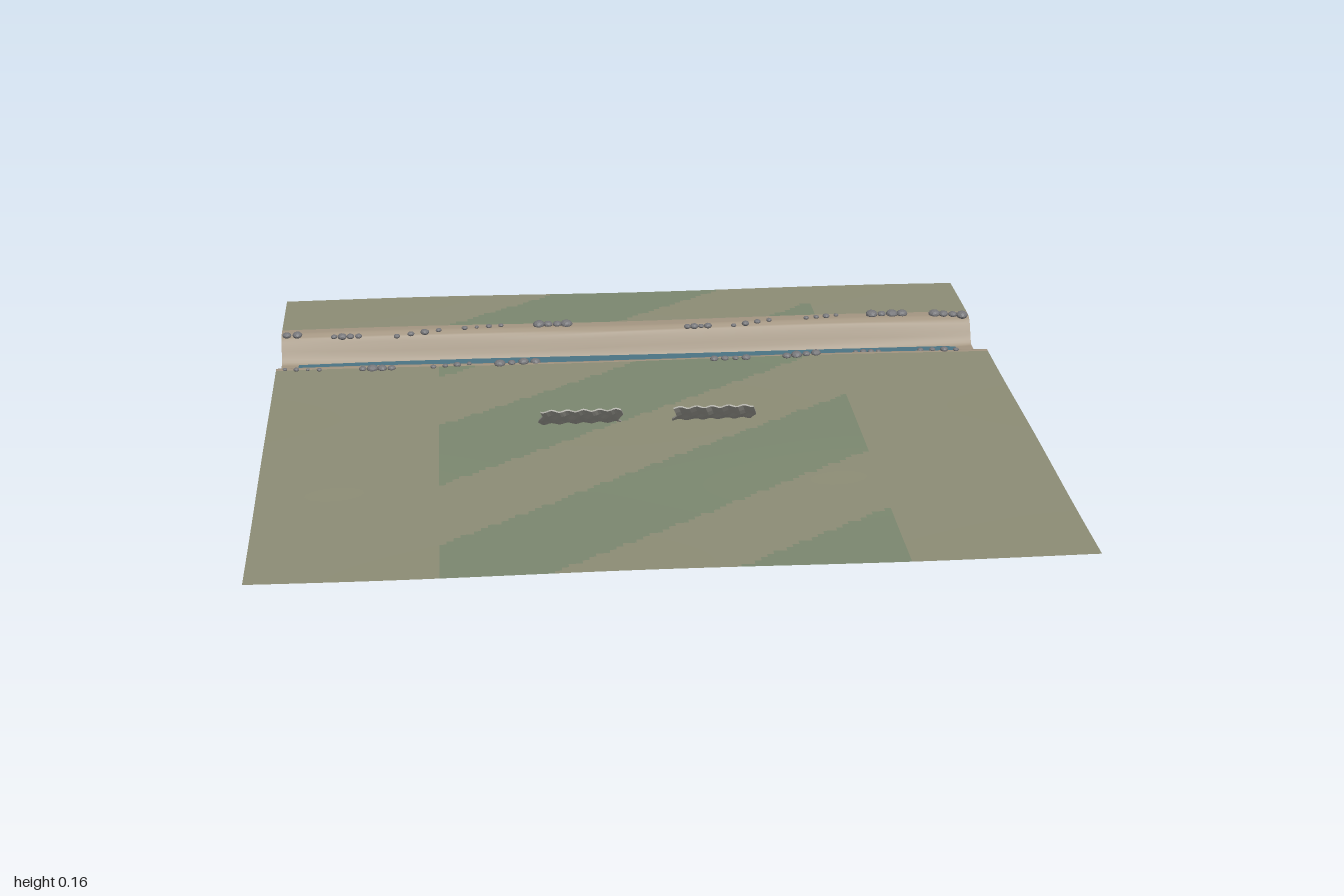
import * as THREE from 'three';

const mat = (color, extra = {}) => {
  const m = new THREE.MeshStandardMaterial({ color, side: THREE.DoubleSide, ...extra });
  return m;
};
const HALF_Z = 0.92;

// Ditch cross-section as [z, height fraction above the bed]
const DITCH = [
  [-0.67, 1], [-0.645, 0.99], [-0.625, 0.86], [-0.61, 0.5], [-0.6, 0.22], [-0.585, 0],
  [-0.435, 0], [-0.42, 0.3], [-0.41, 0.6], [-0.4, 0.87], [-0.385, 1], [-0.36, 1],
];
function ditchFraction(z) {
  if (z <= DITCH[0][0] || z >= DITCH[DITCH.length - 1][0]) return 1;
  const k = DITCH.findIndex((p) => p[0] > z);
  const [z0, f0] = DITCH[k - 1], [z1, f1] = DITCH[k];
  return f0 + ((f1 - f0) * (z - z0)) / (z1 - z0);
}
const meander = (x) => 0.004 * Math.sin(3 * x + 0.6);
function groundHeight(x, z) {
  const top = 0.088 + 0.002 * Math.sin(5 * x + 2 * z) + 0.0015 * Math.sin(7 * z);
  const bed = 0.002 + 0.016 * x * x;
  return bed + (top - bed) * ditchFraction(z - meander(x));
}

// Terrain: one grid, divided by cell into grass, darker field stripes and bare banks
function makeTerrain() {
  const nx = 120, zs = [];
  for (let z = -HALF_Z; z < HALF_Z - 0.001;) {
    zs.push(z);
    z += z > -0.69 && z < -0.35 ? 0.006 : 0.0165;
  }
  zs.push(HALF_Z);
  const pos = [], cells = { grass: [], fieldStripes: [], banks: [] };
  for (const z of zs)
    for (let i = 0; i <= nx; i++) {
      const x = -1 + (2 * i) / nx;
      pos.push(x, groundHeight(x, z), z);
    }
  const kind = (x, z) => {
    if (z > -0.675 && z < -0.37) return 'banks';
    const u = z + 0.75 * x;
    const phase = ((u % 0.7) + 0.7) % 0.7;
    return Math.abs(x) < 0.55 && phase > 0.33 ? 'fieldStripes' : 'grass';
  };
  const all = [];
  for (let j = 0; j < zs.length - 1; j++)
    for (let i = 0; i < nx; i++) {
      const a = j * (nx + 1) + i, c = a + nx + 1;
      const tri = [a, c, a + 1, a + 1, c, c + 1];
      cells[kind(-1 + (2 * i + 1) / nx, (zs[j] + zs[j + 1]) / 2)].push(...tri);
      all.push(...tri);
    }
  const base = new THREE.BufferGeometry();
  base.setAttribute('position', new THREE.Float32BufferAttribute(pos, 3));
  base.setIndex(all);
  base.computeVertexNormals();
  const colors = { grass: 0x8d8d76, fieldStripes: 0x7c8870, banks: 0xa39581 };
  const group = new THREE.Group();
  group.name = 'terrain';
  for (const name in cells) {
    const geo = new THREE.BufferGeometry();
    geo.setAttribute('position', base.attributes.position);
    geo.setAttribute('normal', base.attributes.normal);
    geo.setIndex(cells[name]);
    const mesh = new THREE.Mesh(geo, mat(colors[name]));
    mesh.name = name;
    group.add(mesh);
  }
  return group;
}

// Water: a flat ribbon that follows the ditch
function makeWater() {
  const geo = new THREE.PlaneGeometry(2, 0.16, 60, 1).rotateX(-Math.PI / 2);
  const p = geo.attributes.position;
  for (let i = 0; i < p.count; i++) p.setXYZ(i, p.getX(i), 0.0165, p.getZ(i) - 0.514 + meander(p.getX(i)));
  const mesh = new THREE.Mesh(geo, mat(0x4b7484));
  mesh.name = 'water';
  return mesh;
}

// Leaning screen of rough boards, curved in section with a ragged edge
function makeScreen(x, seed) {
  const curve = new THREE.CatmullRomCurve3([
    new THREE.Vector3(0, 0.085, 0.045), new THREE.Vector3(0, 0.102, 0.073),
    new THREE.Vector3(0, 0.125, 0.101), new THREE.Vector3(0, 0.156, 0.13),
  ]);
  const geo = new THREE.BoxGeometry(0.21, 1, 0.004, 30, 5, 1);
  const p = geo.attributes.position;
  for (let i = 0; i < p.count; i++) {
    const px = p.getX(i), t = p.getY(i) + 0.5;
    const c = curve.getPoint(t);
    const ripple = 0.002 * Math.sin(px * 150 + seed);
    const ragged = 0.004 * Math.sin(px * 75 + seed * 2);
    const skew = 0.006 * Math.sin(t * 9 + seed);
    p.setXYZ(i, px + skew, c.y + p.getZ(i) * 0.7 + ripple + ragged * 0.5, c.z - p.getZ(i) * 0.7 - ripple + ragged);
  }
  geo.computeVertexNormals();
  const mesh = new THREE.Mesh(geo, mat(0xa6a59d, { flatShading: true }));
  mesh.position.x = x;
  mesh.name = 'boardScreen';
  return mesh;
}

// Rows of stones on both banks: [x start, x end, z start, z end, radius]
const STONE_ROWS = [
  [-0.985, -0.955, -0.64, -0.64, 0.013], [-0.85, -0.78, -0.63, -0.63, 0.012],
  [-0.67, -0.55, -0.628, -0.643, 0.011], [-0.475, -0.37, -0.648, -0.662, 0.008],
  [-0.26, -0.18, -0.663, -0.663, 0.015], [0.17, 0.23, -0.63, -0.63, 0.011],
  [0.305, 0.41, -0.628, -0.642, 0.01], [0.52, 0.61, -0.648, -0.662, 0.009],
  [0.715, 0.805, -0.663, -0.663, 0.016], [0.9, 0.98, -0.658, -0.645, 0.015],
  [-0.975, -0.88, -0.372, -0.362, 0.007], [-0.76, -0.68, -0.36, -0.36, 0.014],
  [-0.565, -0.465, -0.362, -0.38, 0.009], [-0.38, -0.28, -0.375, -0.39, 0.014],
  [0.22, 0.31, -0.36, -0.36, 0.011], [0.425, 0.51, -0.362, -0.378, 0.014],
  [0.625, 0.69, -0.39, -0.39, 0.009], [0.81, 0.91, -0.39, -0.38, 0.01],
];
function makeStones() {
  const group = new THREE.Group();
  group.name = 'bankStones';
  const geo = new THREE.IcosahedronGeometry(1, 1);
  const material = mat(0x77777a, { flatShading: true });
  STONE_ROWS.forEach(([x0, x1, z0, z1, r], row) => {
    const n = x1 - x0 < 0.05 ? 2 : 4;
    for (let k = 0; k < n; k++) {
      const t = k / (n - 1), s = r * (1 + 0.2 * Math.sin(row * 5 + k * 2.3));
      const x = x0 + (x1 - x0) * t, z = z0 + (z1 - z0) * t;
      const stone = new THREE.Mesh(geo, material);
      stone.name = 'stone';
      stone.position.set(x, groundHeight(x, z) + 0.003, z);
      stone.scale.set(s, s * 0.65, s * 0.95);
      stone.rotation.y = row + k * 1.7;
      group.add(stone);
    }
  });
  return group;
}

export function createModel() {
  const model = new THREE.Group();
  model.name = 'riverField';
  model.add(makeTerrain(), makeWater(), makeScreen(-0.18, 0.5), makeScreen(0.172, 2.1), makeStones());
  return model;
}
